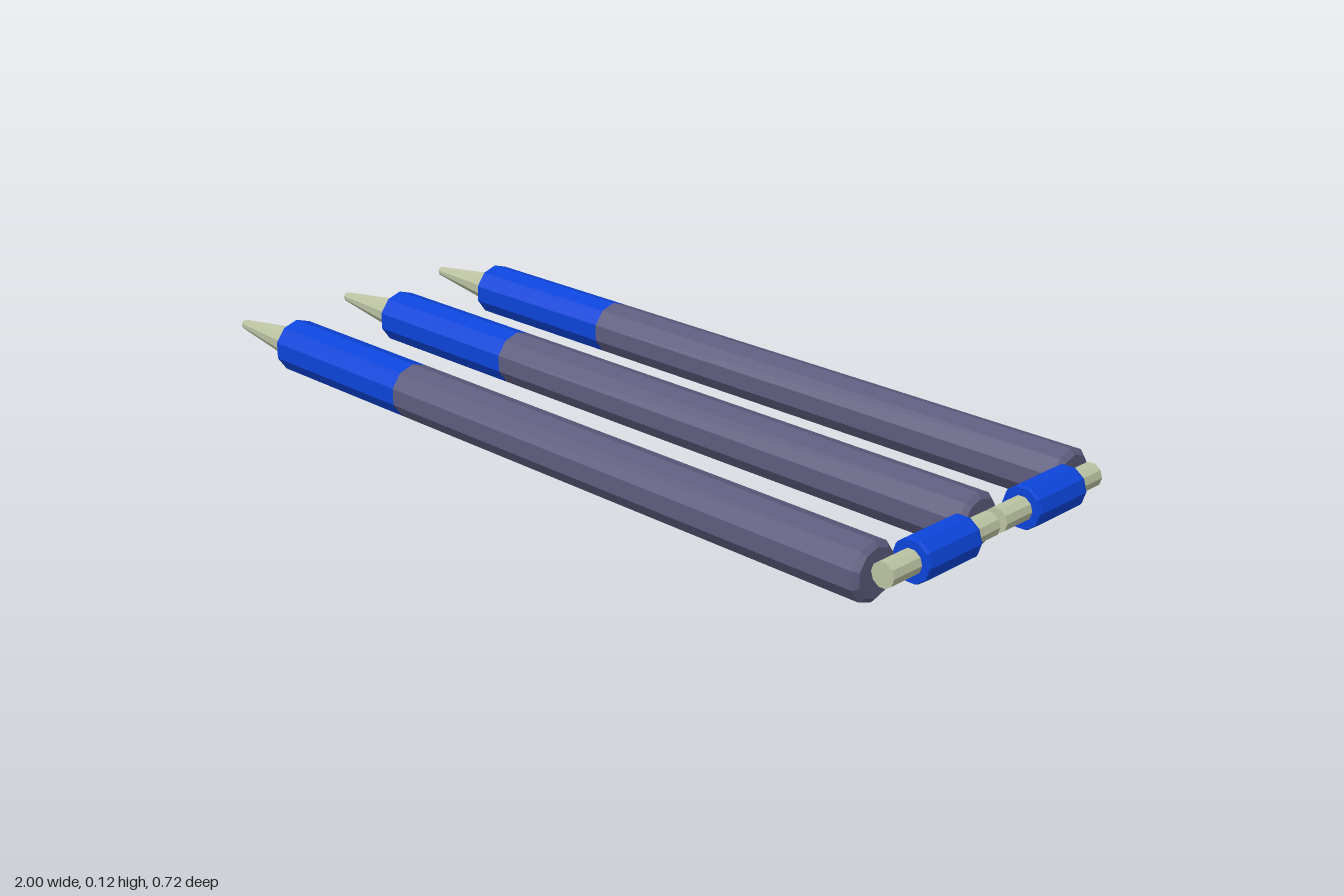
import * as THREE from 'three';

const material = (name, color) => {
  const m = new THREE.MeshStandardMaterial({ color });
  m.name = name;
  return m;
};

// Ten-sided faceted solid turned from [position, radius] pairs along its axis
function turned(name, profile, mat) {
  const points = profile.map(([p, r]) => new THREE.Vector2(r, p));
  const geo = new THREE.LatheGeometry(points, 10, Math.PI / 2).toNonIndexed();
  geo.computeVertexNormals();
  const mesh = new THREE.Mesh(geo, mat);
  mesh.name = name;
  return mesh;
}

export function createModel() {
  const grey = material('slate grey', 0x5e5c7e);
  const blue = material('blue', 0x0c45da);
  const pale = material('pale metal', 0xbcc3a2);
  const model = new THREE.Group();
  model.name = 'threeSpikedTool';
  const R = 0.061;

  // Three parallel rods, each with a grey shaft, blue collar and pale spike
  for (const z of [-0.304, 0, 0.304]) {
    const rod = new THREE.Group();
    rod.name = 'rod';
    rod.add(
      turned('shaft', [[-0.365, 0], [-0.365, R], [0.918, R], [0.928, 0.05], [0.928, 0]], grey),
      turned('collar', [[-0.79, R], [-0.365, R]], blue),
      turned('spike', [[-1, 0], [-1, 0.011], [-0.79, 0.039], [-0.79, R]], pale)
    );
    rod.rotation.z = -Math.PI / 2;
    rod.position.set(0, R, z);
    model.add(rod);
  }

  // Two links joining the rods at their blunt ends
  for (const z of [-0.168, 0.166]) {
    const link = new THREE.Group();
    link.name = 'link';
    link.add(
      turned('pin', [[-0.156, 0], [-0.156, 0.026], [0.156, 0.026], [0.156, 0]], pale),
      turned('sleeve', [[-0.077, 0], [-0.077, 0.043], [-0.07, 0.045], [0.07, 0.045], [0.077, 0.043], [0.077, 0]], blue)
    );
    link.rotation.x = Math.PI / 2;
    link.position.set(0.955, 0.072, z);
    model.add(link);
  }
  return model;
}
